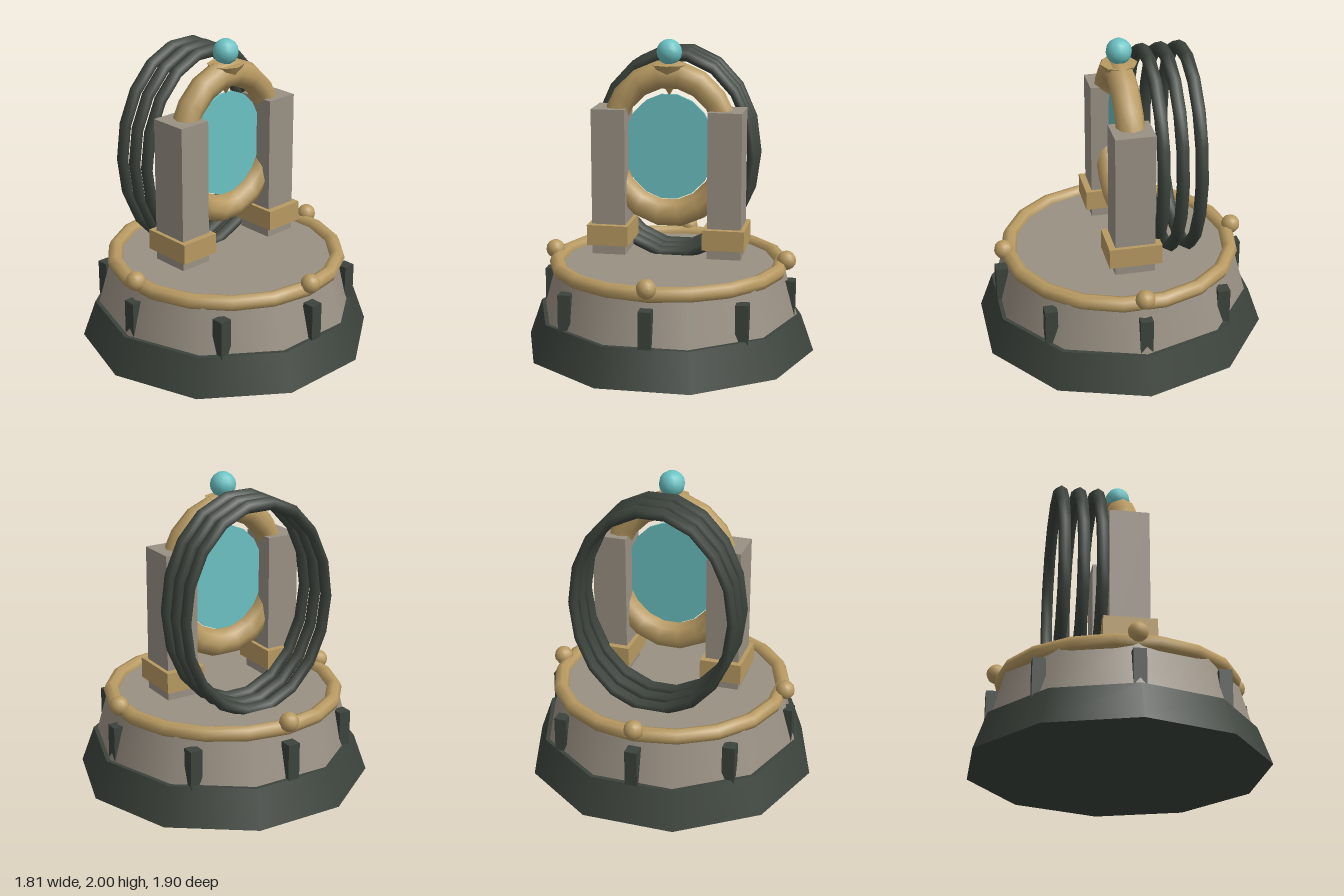
import * as THREE from 'three';

const mat = (name, color) => {
  const m = new THREE.MeshStandardMaterial({ color });
  m.name = name;
  return m;
};

export function createModel() {
  const group = new THREE.Group();
  const darkMetal = mat('darkMetal', 0x3c433c);
  const stone = mat('stone', 0x9a9184);
  const brass = mat('brass', 0xb89a62);
  const glow = mat('glow', 0x6cc2c3);

  const add = (name, geometry, material, x = 0, y = 0, z = 0) => {
    const mesh = new THREE.Mesh(geometry, material);
    mesh.name = name;
    mesh.position.set(x, y, z);
    group.add(mesh);
    return mesh;
  };
  // Upright oval hoop facing x, narrowed along z
  const hoop = (radius, tube, sides, narrow) =>
    new THREE.TorusGeometry(radius, tube, sides, 18).rotateY(Math.PI / 2).scale(1, 1, narrow);

  // Ten-sided plinth and tapered drum
  add('plinth', new THREE.CylinderGeometry(0.865, 0.95, 0.24, 10), darkMetal, 0, 0.12, 0);
  add('drum', new THREE.CylinderGeometry(0.752, 0.838, 0.315, 10), stone, 0, 0.3975, 0);

  // Eight upright fins around the drum
  for (let i = 0; i < 8; i++) {
    const a = (i * Math.PI) / 4;
    add('fin', new THREE.BoxGeometry(0.08, 0.25, 0.08), darkMetal,
      0.785 * Math.cos(a), 0.345, 0.785 * Math.sin(a));
  }

  // Rim and its four studs
  add('rim', new THREE.TorusGeometry(0.73, 0.05, 8, 18).rotateX(Math.PI / 2), brass, 0, 0.55, 0);
  for (let i = 0; i < 4; i++) {
    const a = (i * Math.PI) / 2;
    add('rimStud', new THREE.SphereGeometry(0.062, 12, 8), brass,
      0.764 * Math.cos(a), 0.597, 0.764 * Math.sin(a));
  }

  // Pillars with collars on both sides of the portal
  for (const s of [-1, 1]) {
    add('pillar', new THREE.BoxGeometry(0.254, 0.945, 0.217), stone, 0, 1.0875, s * 0.374);
    add('pillarCollar', new THREE.BoxGeometry(0.336, 0.132, 0.268), brass, 0, 0.747, s * 0.374);
  }

  // Portal ring with its glowing pane
  add('portalRing', hoop(0.453, 0.09, 8, 0.85), brass, 0, 1.326, 0);
  add('portalPane',
    new THREE.CylinderGeometry(0.343, 0.343, 0.02, 18).rotateZ(Math.PI / 2).scale(1, 1, 0.865),
    glow, 0, 1.312, 0);

  // Three oval hoops beside the portal
  for (let i = 0; i < 3; i++) {
    add('sideHoop', hoop(0.667, 0.0425, 6, 0.77), darkMetal, -0.17 - 0.119 * i, 1.22, 0);
  }

  // Orb in a pointed cup on top
  add('orbCup', new THREE.ConeGeometry(0.117, 0.2, 8).rotateX(Math.PI), brass, 0, 1.74, 0);
  add('orb', new THREE.SphereGeometry(0.082, 12, 8), glow, 0, 1.918, 0);

  return group;
}
